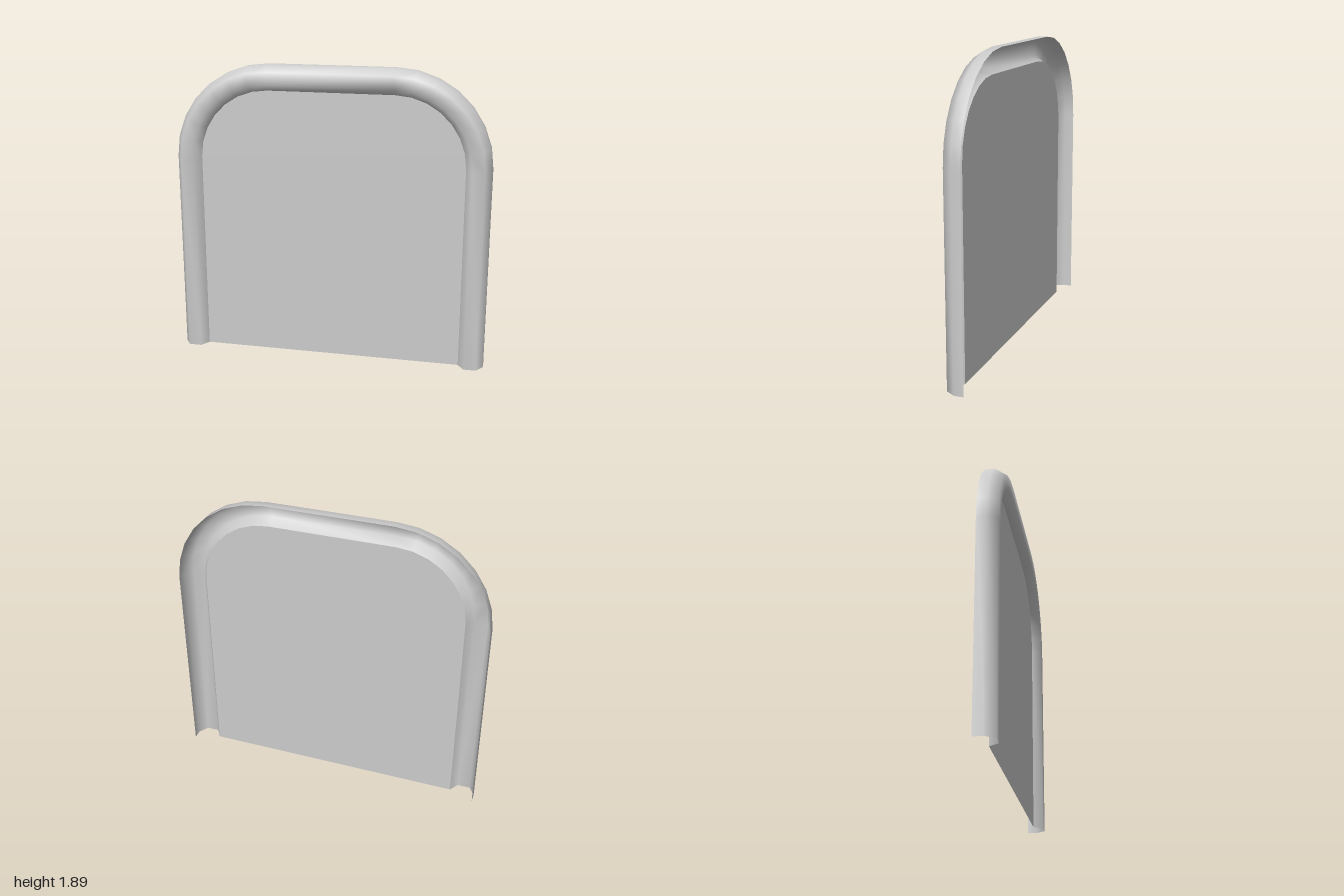
import * as THREE from 'three';

const ARC_X = 0.4, ARC_Y = 1.295, ARC_STEPS = 7;

// Stations along the arch: centre of the bend plus outward direction
function archStations() {
  const stations = [{ x: ARC_X, y: 0, angle: 0 }];
  for (const side of [1, -1]) {
    for (let i = 0; i <= ARC_STEPS; i++) {
      const quarter = (i / ARC_STEPS) * Math.PI / 2;
      stations.push({
        x: side * ARC_X,
        y: ARC_Y,
        angle: side > 0 ? quarter : Math.PI / 2 + quarter,
      });
    }
  }
  stations.push({ x: -ARC_X, y: 0, angle: Math.PI });
  return stations;
}

// Point of a station at radius r from its bend centre
const offset = (s, r) => [s.x + r * Math.cos(s.angle), s.y + r * Math.sin(s.angle)];

// Sweep an open [radius, z] profile along the stations
function sweep(stations, profile) {
  const positions = [], index = [], n = profile.length;
  stations.forEach((s, i) => {
    for (const [r, z] of profile) positions.push(...offset(s, r), z);
    if (i === stations.length - 1) return;
    for (let j = 0; j < n - 1; j++) {
      const a = i * n + j, b = a + 1, c = a + n, d = c + 1;
      index.push(a, b, c, b, d, c);
    }
  });
  const geometry = new THREE.BufferGeometry();
  geometry.setAttribute('position', new THREE.Float32BufferAttribute(positions, 3));
  geometry.setIndex(index);
  geometry.computeVertexNormals();
  return geometry;
}

export function createModel() {
  const group = new THREE.Group();
  group.name = 'archedPanel';
  const material = new THREE.MeshStandardMaterial({ color: 0xcccccc, side: THREE.DoubleSide });
  const stations = archStations();

  // Hollow rounded rim, open at the back and at both feet
  const profile = [[0.44, 0], [0.48, 0.06], [0.56, 0.06], [0.6, 0], [0.6, -0.06]];
  const rim = new THREE.Mesh(sweep(stations, profile), material);
  rim.name = 'rim';
  group.add(rim);

  // Thin flat panel filling the arch
  const outline = stations.map((s) => new THREE.Vector2(...offset(s, 0.44)));
  const panel = new THREE.Mesh(new THREE.ShapeGeometry(new THREE.Shape(outline)), material);
  panel.name = 'panel';
  group.add(panel);

  return group;
}
